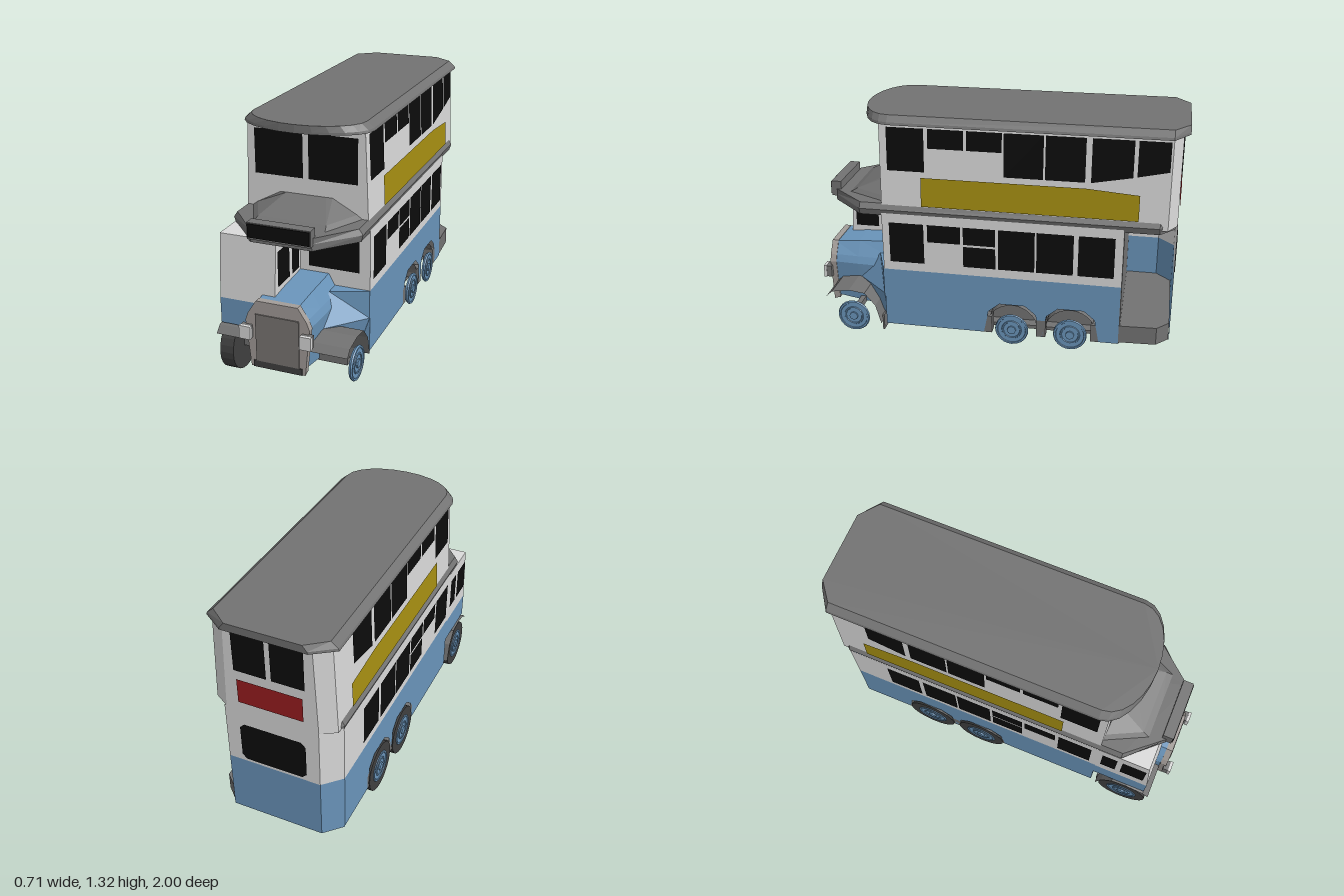
import * as THREE from 'three';

const mat = (name, color) => {
  const m = new THREE.MeshStandardMaterial({ color, side: THREE.DoubleSide, flatShading: true });
  m.name = name;
  return m;
};

export function createModel() {
  const white = mat('off white', 0xdadada), blue = mat('blue', 0x6a95bb), grey = mat('roof grey', 0x727272);
  const black = mat('window black', 0x0c0c0c), yellow = mat('mustard', 0xa68f12), red = mat('red', 0x9a1e20);
  const tyreMat = mat('tyre', 0x404040), frame = mat('radiator frame', 0xa39d99), core = mat('radiator core', 0x7a7673);
  const bus = new THREE.Group();
  bus.name = 'doubleDeckBus';

  const add = (name, geo, m, parent = bus) => {
    const mesh = new THREE.Mesh(geo, m);
    mesh.name = name;
    parent.add(mesh);
    return mesh;
  };
  // Skin a list of rings of [x, y, z]; closed rings get capped ends
  const loft = (rings, closed = true) => {
    const v = [], n = rings[0].length;
    for (let r = 0; r + 1 < rings.length; r++) {
      for (let i = 0; i < (closed ? n : n - 1); i++) {
        const j = (i + 1) % n, a = rings[r], b = rings[r + 1];
        v.push(...a[i], ...a[j], ...b[j], ...a[i], ...b[j], ...b[i]);
      }
    }
    if (closed) {
      const first = rings[0], last = rings[rings.length - 1];
      for (let i = 1; i + 1 < n; i++) {
        v.push(...first[0], ...first[i + 1], ...first[i], ...last[0], ...last[i], ...last[i + 1]);
      }
    }
    const g = new THREE.BufferGeometry();
    g.setAttribute('position', new THREE.Float32BufferAttribute(v, 3));
    g.computeVertexNormals();
    return g;
  };
  const level = (plan, y) => plan.map(([x, z]) => [x, y, z]);
  // Full closed outline from its right half, listed front to back; wound anticlockwise from above
  const mirror = half => [...half, ...half.slice().reverse().map(([x, z]) => [-x, z])];
  const wall = (plan, y0, y1) => loft([level(plan, y0), level(plan, y1)], false);
  const panel = (name, pts, m) => add(name, loft([pts], true), m);
  const box = (name, m, x0, x1, y0, y1, z0, z1) => {
    const g = new THREE.BoxGeometry(x1 - x0, y1 - y0, z1 - z0);
    return add(name, g.translate((x0 + x1) / 2, (y0 + y1) / 2, (z0 + z1) / 2), m);
  };

  // Lower deck sides with wheel arches
  const WHEELS = [-0.12, -0.44];
  for (const s of [1, -1]) {
    const rear = s > 0 ? -0.7 : -0.88;
    const shape = new THREE.Shape();
    shape.moveTo(0.59, 0.45);
    shape.lineTo(0.59, 0.11);
    for (const c of WHEELS) {
      for (const [dz, y] of [[0.155, 0.11], [0.13, 0.24], [0.07, 0.29], [-0.07, 0.29], [-0.13, 0.24], [-0.155, 0.11]]) {
        shape.lineTo(c + dz, y);
      }
    }
    shape.lineTo(rear, 0.11);
    shape.lineTo(rear, 0.45);
    const g = new THREE.ShapeGeometry(shape).rotateY(-Math.PI / 2).translate(s * 0.34, 0, 0);
    add('lowerSidePanel', g, blue);
    add('lowerWindowWall', wall([[s * 0.34, 0.59], [s * 0.34, rear]], 0.45, 0.78), white);
  }
  const tail = [[-0.34, -0.88], [-0.25, -0.97], [0.26, -0.97]];
  add('rearLowerPanel', wall(tail, 0.1, 0.45), blue);
  add('rearWindowWall', wall(tail, 0.45, 0.79), white);
  add('frontBulkhead', wall([[-0.34, 0.59], [0.34, 0.59]], 0.45, 0.78), white);
  add('frontLowerBulkhead', wall([[-0.34, 0.59], [0.34, 0.59]], 0.11, 0.45), blue);
  box('platformBulkhead', grey, -0.33, 0.335, 0.11, 0.78, -0.705, -0.695);

  // Floor, open rear platform and chassis
  box('floor', grey, -0.26, 0.26, 0.11, 0.13, -0.7, 0.58);
  box('rearAxleBox', grey, -0.2, 0.2, 0.11, 0.22, -0.57, 0.03);
  const platform = [[0.34, -0.7], [0.33, -0.9], [0.26, -0.965], [-0.25, -0.965], [-0.335, -0.88], [-0.335, -0.7]];
  add('rearPlatform', loft([level(platform, 0.12), level(platform, 0.22)]), grey);

  // Belt between the decks, running forward as the canopy base
  const belt = w => mirror([[0.16, 0.9], [w, 0.71], [w, -0.88], [0.25, -0.958]]);
  add('deckBelt', loft([level(belt(0.335), 0.765), level(belt(0.345), 0.8), level(belt(0.325), 0.83)]), grey);
  const hump = (w, wf, z) => mirror([[wf, z], [w, 0.59]]);
  add('cabCanopy', loft([level(hump(0.335, 0.2, 0.86), 0.8), level(hump(0.27, 0.18, 0.77), 0.85),
    level(hump(0.14, 0.11, 0.6), 0.92)]), grey);
  box('destinationBox', grey, -0.165, 0.165, 0.79, 0.875, 0.87, 0.925);
  box('destinationBlind', black, -0.16, 0.16, 0.8, 0.87, 0.924, 0.93);

  // Upper deck, leaning inwards
  const deck = w => mirror([[w, 0.59], [w, -0.92], [w - 0.08, -0.968]]);
  add('upperDeck', loft([level(deck(0.33), 0.785), level(deck(0.31), 1.28)]), white);

  // Roof with a bowed front overhang
  const roof = w => {
    const half = [];
    for (let i = 0; i <= 6; i++) {
      const a = (i / 6) * Math.PI / 2;
      half.push([w * Math.sin(a), 0.54 + 0.18 * Math.cos(a)]);
    }
    return mirror([...half, [w, -0.92], [w * 0.66, -1]]);
  };
  add('roof', loft([level(roof(0.34), 1.272), level(roof(0.335), 1.285), level(roof(0.3), 1.315)]), grey);

  // Side windows and advert boards
  const upperX = y => 0.33 - 0.04 * (y - 0.785);
  const sidePanel = (name, m, s, z0, z1, y0, y1, off = 0.004, y0b = y0, y1b = y1) => {
    const x = y => s * ((y > 0.8 ? upperX(y) : 0.34) + off);
    panel(name, [[x(y0), y0, z0], [x(y0b), y0b, z1], [x(y1b), y1b, z1], [x(y1), y1, z0]], m);
  };
  for (const s of [1, -1]) {
    for (const [z0, z1, y0, y1] of [[0.55, 0.36, 0.5, 0.73], [0.34, 0.16, 0.63, 0.73], [0.145, -0.03, 0.5, 0.618],
      [0.145, -0.03, 0.63, 0.73], [-0.045, -0.24, 0.5, 0.73], [-0.25, -0.445, 0.5, 0.73], [-0.47, -0.66, 0.5, 0.73]]) {
      sidePanel('lowerWindow', black, s, z0, z1, y0, y1);
    }
    for (const [z0, z1, y0] of [[0.55, 0.35, 1.02], [0.33, 0.14, 1.15], [0.125, -0.06, 1.15], [-0.07, -0.275, 1.02],
      [-0.285, -0.49, 1.02]]) {
      sidePanel('upperWindow', black, s, z0, z1, y0, 1.255);
    }
    sidePanel('upperWindow', black, s, -0.52, -0.73, 1.02, 1.255, 0.004, 1.06);
    if (s > 0) sidePanel('stairWindow', black, s, -0.75, -0.91, 1.065, 1.255, 0.004, 1.1);
    sidePanel('advertBoard', yellow, s, 0.37, -0.5, 0.83, 0.99, 0.008);
    sidePanel('advertBoard', yellow, s, -0.5, -0.77, 0.83, 0.99, 0.008, 0.83, 0.97);
  }

  // Front and rear windows
  const flat = (name, m, x0, x1, y0, y1, z, c = 0) => panel(name, [[x0 + c, y0, z], [x1 - c, y0, z], [x1, y0 + c, z],
    [x1, y1 - c, z], [x1 - c, y1, z], [x0 + c, y1, z], [x0, y1 - c, z], [x0, y0 + c, z]], m);
  for (const s of [1, -1]) {
    flat('upperFrontWindow', black, s * 0.145 - 0.13, s * 0.145 + 0.13, 1.005, 1.24, 0.594);
    flat('upperRearWindow', black, s * 0.1 - 0.087, s * 0.1 + 0.087, 1.03, 1.25, -0.973);
  }
  flat('saloonFrontWindow', black, 0.01, 0.285, 0.54, 0.72, 0.595);
  flat('lowerRearWindow', black, -0.18, 0.18, 0.47, 0.7, -0.975, 0.025);
  flat('rearBoard', red, -0.175, 0.175, 0.84, 0.98, -0.975);

  // Half-width driver's cab
  const cab = (xi, z) => [[-0.34, 0.59], [-0.34, z], [xi, z], [xi, 0.59]];
  add('cabLower', loft([level(cab(-0.1, 0.9), 0.3), level(cab(-0.1, 0.9), 0.44)]), blue);
  add('cabUpper', loft([level(cab(-0.04, 0.9), 0.44), level(cab(-0.04, 0.872), 0.775)]), white);
  for (const x of [-0.036, -0.344]) {
    for (const [z0, z1] of [[0.865, 0.73], [0.7, 0.615]]) {
      panel('cabWindow', [[x, 0.53, z0], [x, 0.53, z1], [x, 0.715, z1], [x, 0.715, z0]], black);
    }
  }

  // Bonnet, side fairing and radiator
  const section = (z, k, bottom, top) => [[0.145, bottom], [0.17, 0.38], [0.155, 0.42], [0.11, top], [-0.11, top],
    [-0.155, 0.42], [-0.17, 0.38], [-0.145, bottom]].map(([x, y]) => [x * k, y, z]);
  add('bonnet', loft([section(0.59, 1.06, 0.11, 0.51), section(0.8, 1.02, 0.14, 0.5), section(0.95, 0.97, 0.16, 0.485)]), blue);
  add('radiatorFrame', loft([section(0.93, 1, 0.14, 0.49), section(0.965, 1, 0.13, 0.49)]), frame);
  box('radiatorCore', core, -0.115, 0.115, 0.165, 0.42, 0.964, 0.971);
  box('radiatorBase', tyreMat, -0.13, 0.13, 0.13, 0.165, 0.964, 0.971);
  const fairing = (x, z) => [[0.15, 0.58], [x, 0.58], [x, 0.595], [0.15, z]];
  add('bonnetFairing', loft([level(fairing(0.28, 0.66), 0.12), level(fairing(0.34, 0.8), 0.3), level(fairing(0.34, 0.67), 0.45)]), blue);

  // Front mudguards, flaps, lamps and axle
  const guard = [[0.25, 0.935], [0.285, 0.9], [0.302, 0.8], [0.29, 0.71], [0.22, 0.65], [0.11, 0.62]];
  for (const s of [1, -1]) {
    const edge = x => guard.map(([y, z]) => [s * x, y, z]);
    add('frontMudguard', loft([edge(0.14), edge(0.352)], false), grey);
    box('mudFlap', grey, Math.min(s * 0.145, s * 0.31), Math.max(s * 0.145, s * 0.31), 0.05, 0.14, 0.615, 0.625);
    box('headlamp', white, s * 0.16 - 0.03, s * 0.16 + 0.03, 0.29, 0.36, 0.985, 1);
    box('headlampBody', grey, s * 0.16 - 0.028, s * 0.16 + 0.028, 0.292, 0.358, 0.955, 0.986);
    for (const [z0, z1] of [[-0.01, 0.04], [-0.305, -0.255], [-0.595, -0.55]]) {
      box('rearGuardFlap', grey, s * 0.31 - 0.03, s * 0.31 + 0.03, 0.11, 0.21, z0, z1);
    }
  }
  box('frontAxle', grey, -0.28, 0.3, 0.13, 0.165, 0.77, 0.8);

  // Wheels: bare hubs on the left, tyred wheels on the right
  const disc = (r, w, n = 24) => new THREE.CylinderGeometry(r, r, w, n).rotateZ(Math.PI / 2);
  for (const z of [0.78, ...WHEELS]) {
    for (const s of [1, -1]) {
      const wheel = new THREE.Group();
      wheel.name = 'wheel';
      wheel.position.set(s * 0.32, 0.142, z);
      bus.add(wheel);
      if (s < 0) add('tyre', disc(0.142, 0.075), tyreMat, wheel).position.x = 0.012;
      add('hubDisc', disc(0.085, 0.016), blue, wheel).position.x = s * 0.018;
      add('hubRim', new THREE.TorusGeometry(0.083, 0.009, 6, 24).rotateY(Math.PI / 2), blue, wheel).position.x = s * 0.022;
      add('hubRing', new THREE.TorusGeometry(0.05, 0.006, 6, 20).rotateY(Math.PI / 2), blue, wheel).position.x = s * 0.025;
      add('hubCap', disc(0.024, 0.014, 8), blue, wheel).position.x = s * 0.028;
      if (s > 0 && z < 0.5) {
        const arch = new THREE.CylinderGeometry(0.14, 0.14, 0.1, 14, 1, true, 0, Math.PI).rotateZ(Math.PI / 2);
        add('rearMudguard', arch, grey, wheel).position.x = -0.04;
      }
    }
  }
  return bus;
}
